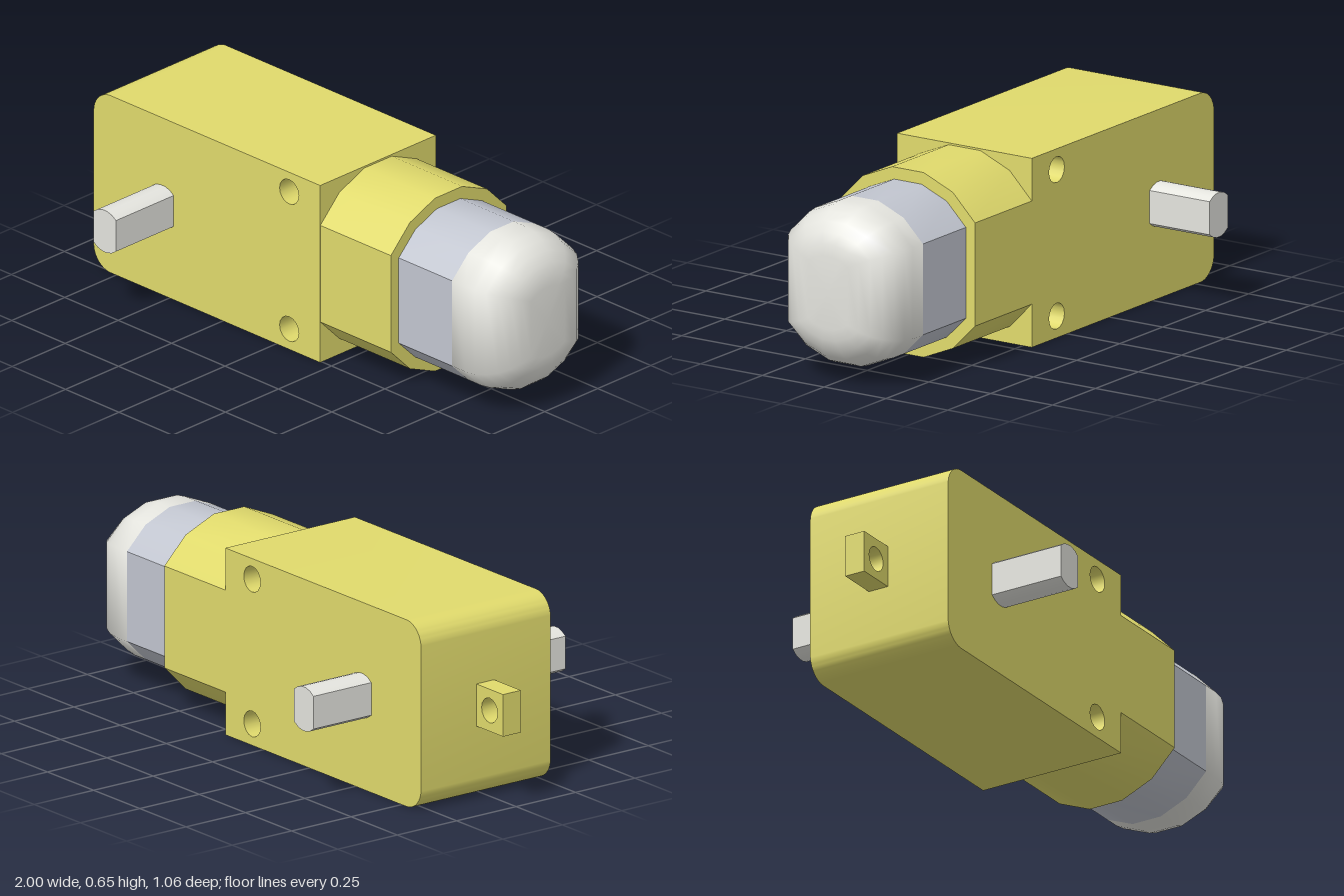
import * as THREE from 'three';
import { toCreasedNormals } from 'three/addons/utils/BufferGeometryUtils.js';

const AXIS_Y = 0.327, AXIS_Z = -0.015;
const yellow = new THREE.MeshStandardMaterial({ color: 0xe0da6c });
const steel = new THREE.MeshStandardMaterial({ color: 0xc2c6d0 });
const white = new THREE.MeshStandardMaterial({ color: 0xe4e4de });

// Outline of a circle cut flat on both sides at +-w, counter-clockwise
function flattedCircle(r, w, segments = 5) {
  const points = [];
  const half = Math.asin(w / r);
  for (const turn of [0, Math.PI]) {
    for (let i = 0; i <= segments; i++) {
      const a = Math.PI / 2 + turn - half + (2 * half * i) / segments;
      points.push(new THREE.Vector2(r * Math.cos(a), r * Math.sin(a)));
    }
  }
  return points;
}

function extrude(shape, depth, crease = 0.6) {
  const geometry = new THREE.ExtrudeGeometry(shape, { depth, bevelEnabled: false, curveSegments: 8 });
  return toCreasedNormals(geometry, crease);
}

function addHole(shape, x, y, r) {
  shape.holes.push(new THREE.Path().absarc(x, y, r, 0, Math.PI * 2, true));
}

// Flatted cylinder running along x
function barrel(r, w, x0, x1) {
  return extrude(new THREE.Shape(flattedCircle(r, w)), x1 - x0)
    .rotateY(Math.PI / 2).translate(x0, AXIS_Y, AXIS_Z);
}

// End cap: flatted sections that shrink along a quarter-round, then a flat end
function domeGeometry(r, w, x0, x1, fillet) {
  const rings = [[x0, 0]];
  const steps = 6;
  for (let i = 0; i <= steps; i++) {
    const a = (i / steps) * Math.PI / 2;
    rings.push([x1 - fillet + fillet * Math.sin(a), fillet * (1 - Math.cos(a))]);
  }
  const positions = [], index = [];
  const n = flattedCircle(r, w).length;
  for (const [x, inset] of rings) {
    for (const p of flattedCircle(r - inset, w - inset)) {
      positions.push(x, AXIS_Y + p.y, AXIS_Z - p.x);
    }
  }
  for (let k = 0; k < rings.length - 1; k++) {
    for (let i = 0; i < n; i++) {
      const a = k * n + i, b = k * n + (i + 1) % n;
      index.push(a, b, b + n, a, b + n, a + n);
    }
  }
  const last = (rings.length - 1) * n, centre = positions.length / 3;
  positions.push(x1, AXIS_Y, AXIS_Z);
  for (let i = 0; i < n; i++) index.push(last + i, last + (i + 1) % n, centre);
  const geometry = new THREE.BufferGeometry();
  geometry.setAttribute('position', new THREE.Float32BufferAttribute(positions, 3));
  geometry.setIndex(index);
  return toCreasedNormals(geometry, 0.85);
}

export function createModel() {
  const model = new THREE.Group();
  const add = (name, geometry, material) => {
    const mesh = new THREE.Mesh(geometry, material);
    mesh.name = name;
    model.add(mesh);
  };

  // Gearbox housing, rounded at the tab end, with two screw holes
  const left = -0.855, right = 0.205, top = 0.652, c = 0.08;
  const body = new THREE.Shape();
  body.moveTo(right, 0);
  body.lineTo(right, top);
  body.lineTo(left + c, top);
  body.absarc(left + c, top - c, c, Math.PI / 2, Math.PI, false);
  body.absarc(left + c, c, c, Math.PI, Math.PI * 1.5, false);
  body.closePath();
  for (const y of [0.075, 0.58]) addHole(body, 0.06, y, 0.045);
  add('gearboxHousing', extrude(body, 0.545).translate(0, 0, -0.287), yellow);

  // Mounting tab with its hole
  const tab = new THREE.Shape();
  tab.moveTo(-1, 0.255);
  tab.lineTo(left, 0.255);
  tab.lineTo(left, 0.402);
  tab.lineTo(-1, 0.402);
  tab.closePath();
  addHole(tab, -0.927, 0.328, 0.043);
  add('mountingTab', extrude(tab, 0.075).translate(0, 0, -0.055), yellow);

  // Output shaft through the housing, flat on two sides
  const shaft = new THREE.Shape(flattedCircle(0.0775, 0.0525));
  add('outputShaft', extrude(shaft, 1.06).translate(-0.533, AXIS_Y, -0.53), white);

  // Motor: sleeve, metal can and rounded end cap
  add('motorSleeve', barrel(0.325, 0.272, right, 0.535), yellow);
  add('motorCan', barrel(0.2825, 0.235, 0.535, 0.785), steel);
  add('motorEndCap', domeGeometry(0.2825, 0.235, 0.785, 1, 0.155), white);

  return model;
}
